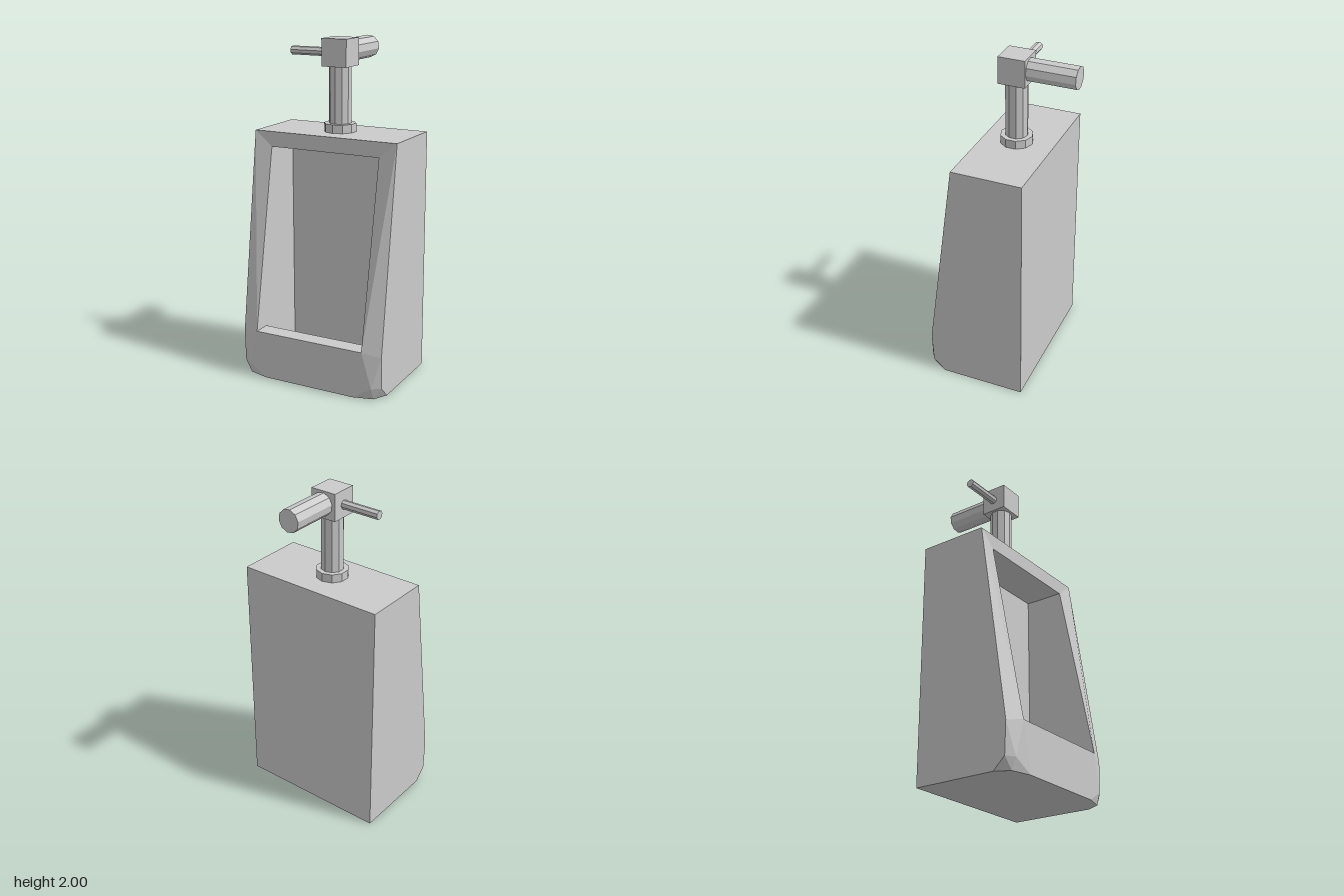
import * as THREE from 'three';

const material = new THREE.MeshStandardMaterial({ color: 0xcccccc, flatShading: true });

// Builds a mirrored, flat-faced solid from corners and faces of its +x half.
function mirroredSolid(corners, faces) {
  const positions = [];
  const put = (name, sign) => {
    const [x, y, z] = corners[name];
    positions.push(sign * x, y, z);
  };
  for (const face of faces) {
    const f = face.split(' ');
    for (let i = 1; i < f.length - 1; i++) {
      [f[0], f[i], f[i + 1]].forEach((n) => put(n, 1));
      [f[0], f[i + 1], f[i]].forEach((n) => put(n, -1));
    }
  }
  const geometry = new THREE.BufferGeometry();
  geometry.setAttribute('position', new THREE.Float32BufferAttribute(positions, 3));
  geometry.computeVertexNormals();
  return geometry;
}

function urinalBody() {
  const W = 0.457, H = 1.46, BACK = -0.24, TOP_Z = 0.18, FRONT = 0.385;
  const w = 0.347, top = 1.37, lip = 0.285, floor = 0.1, wall = -0.06, lipZ = 0.28;
  const corners = {
    // outer shell
    backLow: [W, 0, BACK], backTop: [W, H, BACK], frontTop: [W, H, TOP_Z],
    // chamfered lower front corner
    edge: [W, 0.26, 0.35], mid: [0.405, 0.07, 0.376], toe: [0.29, 0, FRONT],
    side: [W, 0.07, 0.343], under: [0.41, 0, 0.353], heel: [W, 0, 0.27],
    // opening and basin
    openLow: [w, lip, FRONT], openTop: [w, top, TOP_Z], lipBack: [w, lip, lipZ],
    floorFront: [w, floor, lipZ], floorBack: [w, floor, wall], ceilBack: [w, top, wall],
    // centre line
    cBackLow: [0, 0, BACK], cBackTop: [0, H, BACK], cFrontTop: [0, H, TOP_Z],
    cToe: [0, 0, FRONT], cOpenLow: [0, lip, FRONT], cOpenTop: [0, top, TOP_Z],
    cLipBack: [0, lip, lipZ], cFloorFront: [0, floor, lipZ],
    cFloorBack: [0, floor, wall], cCeilBack: [0, top, wall],
  };
  return mirroredSolid(corners, [
    // side, back, top and underside
    'backLow backTop frontTop edge side heel',
    'backLow cBackLow cBackTop backTop',
    'cFrontTop frontTop backTop cBackTop',
    'cBackLow backLow heel under toe cToe',
    // front apron and corner chamfers
    'openLow cOpenLow cToe toe mid edge',
    'edge mid side', 'mid toe under', 'mid under side', 'side under heel',
    // sloping rim
    'openLow edge frontTop openTop',
    'cOpenTop openTop frontTop cFrontTop',
    // basin
    'ceilBack floorBack floorFront lipBack openLow openTop',
    'cFloorBack floorBack ceilBack cCeilBack',
    'cFloorFront floorFront floorBack cFloorBack',
    'floorFront cFloorFront cLipBack lipBack',
    'cOpenLow openLow lipBack cLipBack',
    'cCeilBack ceilBack openTop cOpenTop',
  ]);
}

export function createModel() {
  const group = new THREE.Group();
  const add = (name, geometry, x = 0, y = 0, z = 0) => {
    const mesh = new THREE.Mesh(geometry, material);
    mesh.name = name;
    mesh.position.set(x, y, z);
    group.add(mesh);
  };
  const rod = (radius, length, sides = 10) =>
    new THREE.CylinderGeometry(radius, radius, length, sides);

  add('urinalBody', urinalBody());

  // Flush valve standing on the top
  const axisZ = -0.02;
  add('pipeCollar', rod(0.095, 0.05), 0, 1.485, axisZ);
  add('supplyPipe', rod(0.066, 0.34), 0, 1.675, axisZ);
  add('valveBlock', new THREE.BoxGeometry(0.16, 0.16, 0.16), 0, 1.92, axisZ);
  add('wallPipe', rod(0.067, 0.285).rotateY(0.15).rotateX(Math.PI / 2), 0.006, 1.923, -0.2425);
  add('flushLever', rod(0.026, 0.237, 8).rotateY(0.2).rotateZ(Math.PI / 2), -0.1985, 1.916, -0.021);

  return group;
}
